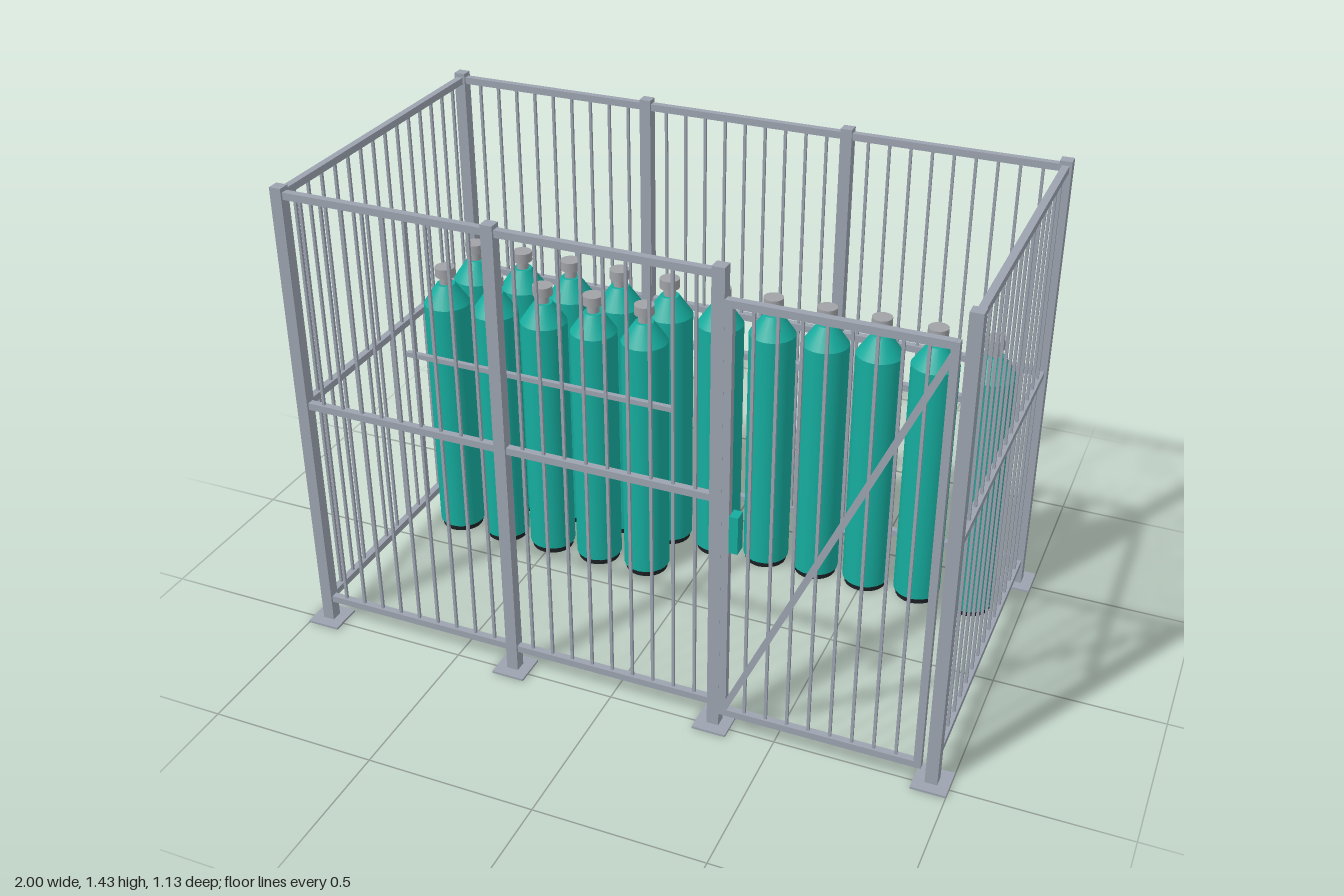
import * as THREE from 'three';

const steel = new THREE.MeshStandardMaterial({ color: 0x9ca3af });
steel.name = 'galvanised steel';
const teal = new THREE.MeshStandardMaterial({ color: 0x16ac9e });
teal.name = 'teal paint';
const valveGrey = new THREE.MeshStandardMaterial({ color: 0xa0a2a6 });
valveGrey.name = 'valve grey';
const rubber = new THREE.MeshStandardMaterial({ color: 0x1c1f23 });
rubber.name = 'black rubber';

const FRONT = 0.485, BACK = -0.517, SIDE = 0.95;
const BOTTOM = 0.08, MIDDLE = 0.757, TOP = 1.403;
const POSTS_X = [-SIDE, -SIDE / 3, SIDE / 3, SIDE];

function add(parent, name, geometry, material, x, y, z) {
  const mesh = new THREE.Mesh(geometry, material);
  mesh.name = name;
  mesh.position.set(x, y, z);
  parent.add(mesh);
  return mesh;
}

// Square tube between two points
function beam(parent, name, a, b, size) {
  const start = new THREE.Vector3(...a), end = new THREE.Vector3(...b);
  const mid = start.clone().add(end).multiplyScalar(0.5);
  const mesh = add(parent, name, new THREE.BoxGeometry(size, size, start.distanceTo(end)), steel, mid.x, mid.y, mid.z);
  mesh.lookAt(end);
  return mesh;
}

// Evenly spaced vertical square bars between two ground points
function bars(parent, [x0, z0], [x1, z1], divisions, y0, y1) {
  const bar = new THREE.BoxGeometry(0.008, y1 - y0, 0.008);
  for (let i = 1; i < divisions; i++) {
    const t = i / divisions;
    add(parent, 'bar', bar, steel, x0 + (x1 - x0) * t, (y0 + y1) / 2, z0 + (z1 - z0) * t);
  }
}

// Fence panel: three rails and its bars
function panel(name, from, to, divisions) {
  const group = new THREE.Group();
  group.name = name;
  for (const y of [BOTTOM, MIDDLE, TOP]) {
    beam(group, 'rail', [from[0], y, from[1]], [to[0], y, to[1]], 0.021);
  }
  bars(group, from, to, divisions, BOTTOM, TOP);
  return group;
}

function post(x, z) {
  const group = new THREE.Group();
  group.name = 'post';
  add(group, 'postTube', new THREE.BoxGeometry(0.035, 1.42, 0.035), steel, x, 0.716, z);
  add(group, 'basePlate', new THREE.BoxGeometry(0.1, 0.007, 0.1), steel, x, 0.0035, z);
  return group;
}

function gate() {
  const group = new THREE.Group();
  group.name = 'gate';
  const x0 = 0.354, x1 = 0.913, y0 = 0.08, y1 = 1.345, z = 0.516;
  for (const x of [x0, x1]) beam(group, 'gateStile', [x, y0 - 0.01, z], [x, y1 + 0.01, z], 0.021);
  for (const y of [y0, y1]) beam(group, 'gateRail', [x0, y, z], [x1, y, z], 0.021);
  beam(group, 'gateBrace', [x0 + 0.005, y0 + 0.015, z + 0.002], [x1 - 0.005, y1 - 0.03, z + 0.002], 0.018);
  bars(group, [x0, z], [x1, z], 9, y0, y1);
  add(group, 'latch', new THREE.BoxGeometry(0.025, 0.112, 0.036), teal, 0.392, 0.706, 0.548);
  return group;
}

function gasCylinder(x, z) {
  const group = new THREE.Group();
  group.name = 'gasCylinder';
  const drum = (name, rTop, rBottom, y0, y1, material) =>
    add(group, name, new THREE.CylinderGeometry(rTop, rBottom, y1 - y0, 24), material, 0, (y0 + y1) / 2, 0);
  drum('foot', 0.066, 0.066, 0, 0.021, rubber);
  drum('body', 0.0725, 0.0725, 0.02, 0.815, teal);
  drum('shoulder', 0.029, 0.0725, 0.815, 0.879, teal);
  drum('neck', 0.019, 0.019, 0.878, 0.908, valveGrey);
  drum('valveCap', 0.031, 0.031, 0.905, 0.935, valveGrey);
  group.position.set(x, 0, z);
  return group;
}

export function createModel() {
  const model = new THREE.Group();
  model.name = 'gasCylinderCage';

  // Posts along the front and back
  for (const x of POSTS_X) model.add(post(x, FRONT), post(x, BACK));

  // Fence panels: three at the back, two at the front, one on each side
  for (let i = 0; i < 3; i++) {
    model.add(panel('backPanel', [POSTS_X[i], BACK], [POSTS_X[i + 1], BACK], 10));
    if (i < 2) model.add(panel('frontPanel', [POSTS_X[i], FRONT], [POSTS_X[i + 1], FRONT], 10));
  }
  for (const s of [-1, 1]) {
    model.add(panel(s > 0 ? 'leftPanel' : 'rightPanel', [s * SIDE, FRONT], [s * SIDE, BACK], 15));
  }
  model.add(gate());

  // Restraint rails behind and before the cylinders
  beam(model, 'backRestraint', [-0.94, 0.661, -0.442], [0.94, 0.661, -0.442], 0.021);
  beam(model, 'frontRestraint', [-0.94, 0.658, -0.05], [-0.036, 0.658, -0.05], 0.016);

  // Full back row and short front row of cylinders
  for (let i = 0; i < 11; i++) {
    const x = -0.84 + i * 0.168;
    model.add(gasCylinder(x, -0.339));
    if (i < 5) model.add(gasCylinder(x, -0.146));
  }
  return model;
}
